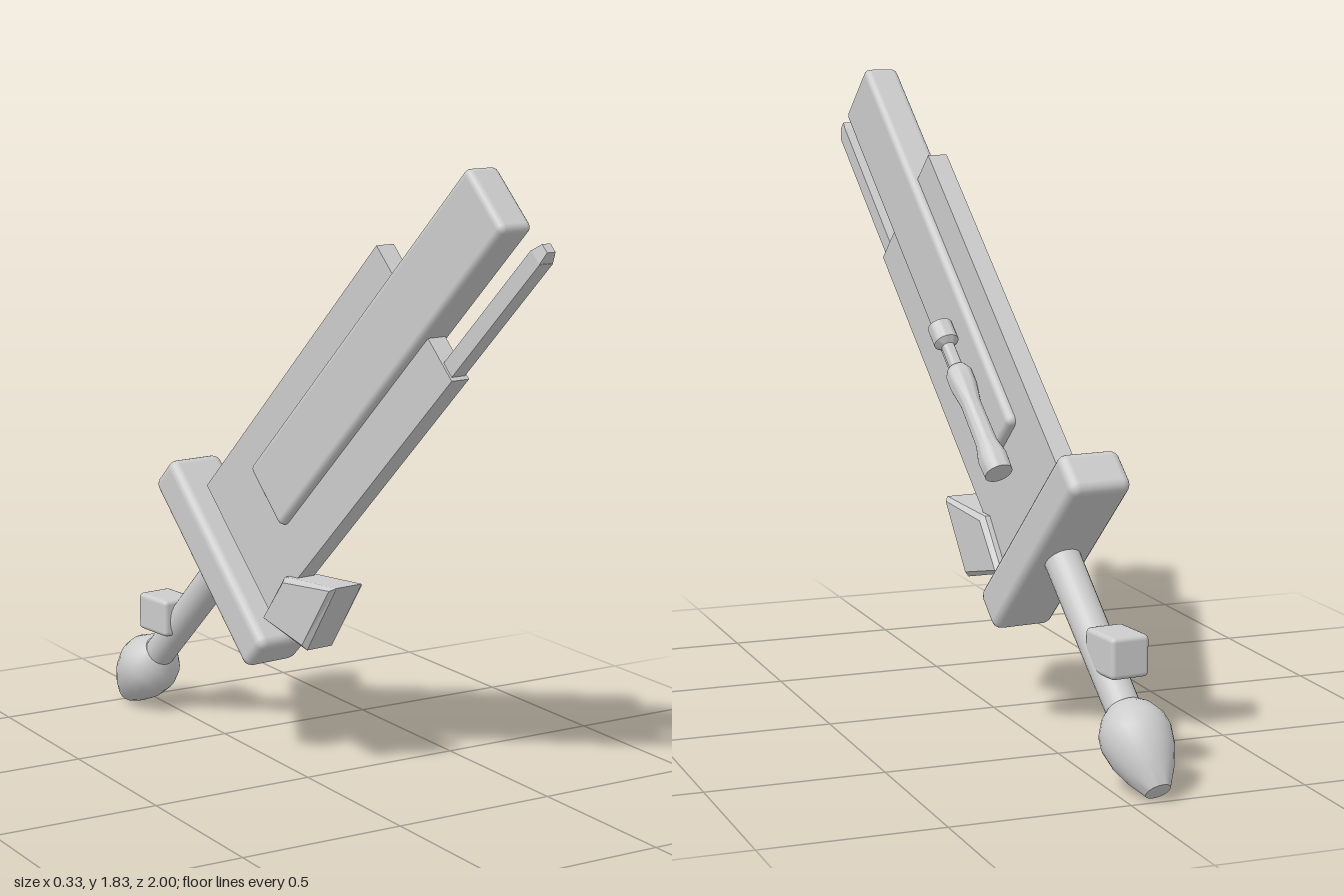
import * as THREE from 'three';
import { toCreasedNormals } from 'three/addons/utils/BufferGeometryUtils.js';
import { RoundedBoxGeometry } from 'three/addons/geometries/RoundedBoxGeometry.js';

const grey = new THREE.MeshStandardMaterial({ color: 0xcccccc });
grey.name = 'light grey';

const PITCH = THREE.MathUtils.degToRad(45.5);
const YAW = 0.106;

function add(parent, name, geometry, x = 0, y = 0, z = 0) {
  const mesh = new THREE.Mesh(geometry, grey);
  mesh.name = name;
  mesh.position.set(x, y, z);
  parent.add(mesh);
  return mesh;
}

// Box spanning y0..y1 along the sword and z0..z1 across it
function slab(parent, name, width, y0, y1, z0, z1, bevel) {
  const geometry = bevel
    ? new RoundedBoxGeometry(width, y1 - y0, z1 - z0, 2, bevel)
    : new THREE.BoxGeometry(width, y1 - y0, z1 - z0);
  return add(parent, name, geometry, 0, (y0 + y1) / 2, (z0 + z1) / 2);
}

// Turned part from [radius, height] pairs, bottom to top
function turned(points) {
  const profile = points.map(([r, y]) => new THREE.Vector2(r, y));
  return toCreasedNormals(new THREE.LatheGeometry(profile, 28), 0.7);
}

export function createModel() {
  const model = new THREE.Group();
  model.name = 'sword';

  // Sword frame: y runs along the blade, z towards the front edge
  const sword = new THREE.Group();
  sword.name = 'swordBody';
  sword.rotation.set(PITCH, YAW, 0, 'YXZ');
  sword.position.set(-0.02, 0.57, -0.415);
  model.add(sword);

  // Blade: thin plate with a thicker, longer spine
  slab(sword, 'bladePlate', 0.06, 0.09, 1.235, -0.212, 0.25);
  slab(sword, 'bladeSpine', 0.108, 0.335, 1.69, -0.107, 0.107, 0.02);

  // Square rod with a tapered tip beside the spine
  slab(sword, 'sideRod', 0.046, 1.15, 1.71, 0.19, 0.238);
  const tip = new THREE.CylinderGeometry(0.02, 0.0325, 0.035, 4, 1);
  tip.rotateY(Math.PI / 4);
  add(sword, 'sideRodTip', toCreasedNormals(tip, 0.5), 0, 1.7275, 0.214);

  // Guard, handle and pommel
  slab(sword, 'guard', 0.185, -0.066, 0.066, -0.34, 0.34, 0.028);
  add(sword, 'handle', new THREE.CylinderGeometry(0.052, 0.048, 0.54, 24), 0, -0.3, -0.007);
  add(sword, 'pommel', turned([
    [0, -0.8], [0.035, -0.797], [0.065, -0.745], [0.088, -0.69],
    [0.098, -0.635], [0.093, -0.6], [0.072, -0.562], [0.048, -0.54], [0, -0.54],
  ]), 0, 0, -0.012);

  // Turned lever on the left face of the blade
  add(sword, 'sideLever', turned([
    [0, 0.235], [0.04, 0.235], [0.042, 0.29], [0.031, 0.34], [0.029, 0.48],
    [0.038, 0.54], [0.038, 0.585], [0.028, 0.605], [0.019, 0.61],
    [0.019, 0.685], [0.036, 0.7], [0.036, 0.76], [0, 0.76],
  ]), 0.088, 0, -0.009);

  // Upright frame for parts that stand level instead of following the blade
  const level = new THREE.Group();
  level.name = 'levelParts';
  level.rotation.x = -PITCH;
  sword.add(level);

  // Block on the back of the handle
  add(level, 'handleBlock', new RoundedBoxGeometry(0.115, 0.115, 0.15, 2, 0.014), -0.012, -0.235, -0.335);

  // Wedge in front of the guard
  const outline = new THREE.Shape([
    [0.578, 0.03], [0.332, 0.015], [0.225, -0.13], [0.439, -0.182],
  ].map(([z, y]) => new THREE.Vector2(z, y)));
  const wedge = new THREE.ExtrudeGeometry(outline, {
    depth: 0.09, bevelSize: 0.014, bevelThickness: 0.014, bevelOffset: -0.014, bevelSegments: 1,
  });
  wedge.translate(0, 0, -0.045);
  wedge.rotateY(-Math.PI / 2);
  add(level, 'guardWedge', wedge);

  return model;
}
